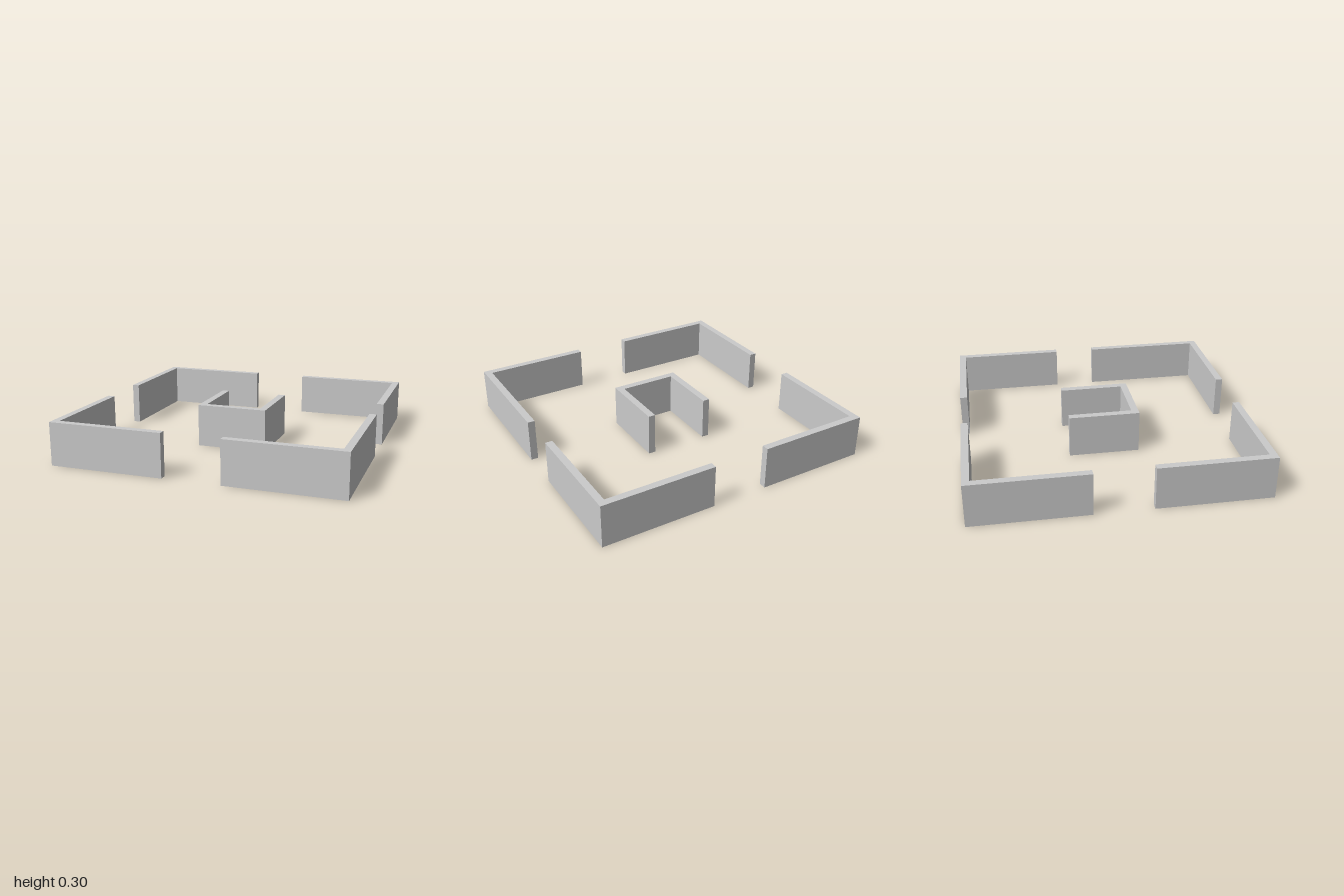
import * as THREE from 'three';

const HEIGHT = 0.3;
const THICK = 0.05;
const material = new THREE.MeshStandardMaterial({ color: 0xcccccc, flatShading: true });

// Extrudes a floor-plan outline of [x, z] points up to the wall height
function wall(name, plan) {
  const shape = new THREE.Shape(plan.map(([x, z]) => new THREE.Vector2(x, -z)));
  const geometry = new THREE.ExtrudeGeometry(shape, { depth: HEIGHT, bevelEnabled: false });
  geometry.rotateX(-Math.PI / 2);
  const mesh = new THREE.Mesh(geometry, material);
  mesh.name = name;
  return mesh;
}

// L-shaped corner wall; endX and endZ are where its arms stop, measured from the centre
function cornerWall(name, sx, sz, endX, endZ) {
  const inner = 1 - THICK;
  const plan = [[1, 1], [endX, 1], [endX, inner], [inner, inner], [inner, endZ], [1, endZ]];
  return wall(name, plan.map(([x, z]) => [x * sx, z * sz]));
}

export function createModel() {
  const group = new THREE.Group();
  group.name = 'walledCourtyard';

  // Four outer corners with openings between them
  group.add(
    cornerWall('frontLeftCornerWall', 1, 1, 0.2, 0.1),
    cornerWall('frontRightCornerWall', -1, 1, 0.2, 0.2),
    cornerWall('backLeftCornerWall', 1, -1, 0.2, 0.2),
    cornerWall('backRightCornerWall', -1, -1, 0.2, 0.2)
  );

  // Central U-shaped wall, open at the back
  const outer = 0.25, inner = outer - THICK;
  group.add(wall('centreWall', [
    [-outer, -outer], [-outer, outer], [outer, outer], [outer, -outer],
    [inner, -outer], [inner, inner], [-inner, inner], [-inner, -outer]
  ]));

  return group;
}
